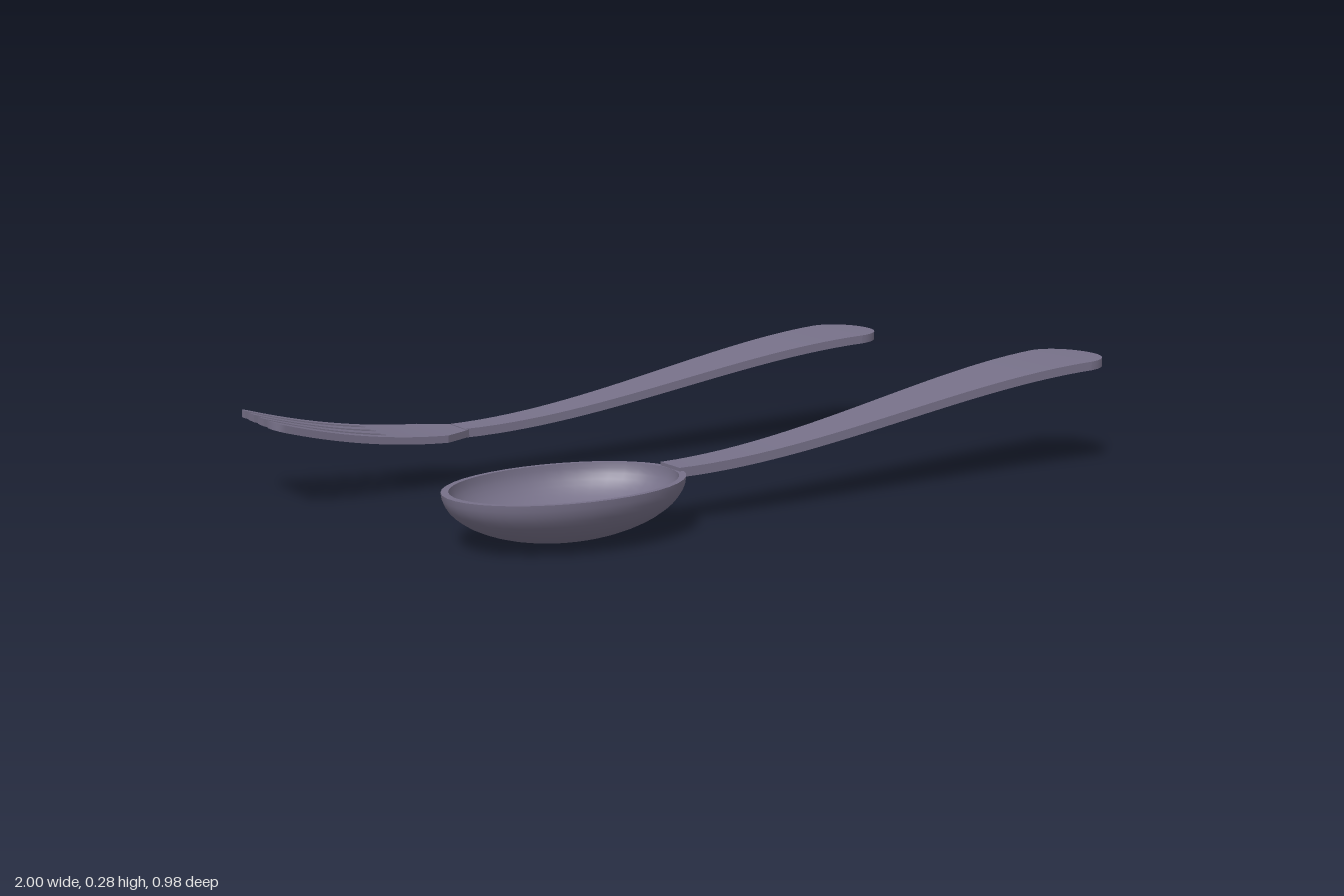
import * as THREE from 'three';

const metal = new THREE.MeshStandardMaterial({ color: 0x767088 });
metal.name = 'pewter';

const lerp = THREE.MathUtils.lerp;
const smooth = THREE.MathUtils.smoothstep;

// Evenly spaced values, with optional easing of the spacing
const range = (a, b, n, ease = t => t) =>
  Array.from({ length: n + 1 }, (_, i) => lerp(a, b, ease(i / n)));

// Flat bar running along x: edges lo(x)..hi(x) in z, following the height mid(x)
function strip(name, xs, lo, hi, mid, thick) {
  const n = xs.length - 1;
  const geo = new THREE.BoxGeometry(1, 1, 1, n, 1, 1);
  const p = geo.attributes.position;
  for (let i = 0; i < p.count; i++) {
    const x = xs[Math.round((p.getX(i) + 0.5) * n)];
    p.setXYZ(i, x, mid(x) + p.getY(i) * thick, lerp(lo(x), hi(x), p.getZ(i) + 0.5));
  }
  geo.computeVertexNormals();
  const mesh = new THREE.Mesh(geo, metal);
  mesh.name = name;
  return mesh;
}

// Flared S-curved handle with a rounded tip
function makeHandle(x0, x1, low, high) {
  const g = new THREE.Group();
  g.name = 'handle';
  const tip = 0.095, xe = x1 - tip;
  const mid = x => lerp(low, high, smooth(x, x0, x1));
  const half = x => {
    const t = (x - x0) / (xe - x0);
    return 0.04 + 0.073 * (0.65 * t + 0.35 * t * t);
  };
  const round = x => 0.113 * Math.sqrt(Math.max(0, 1 - ((x - xe) / tip) ** 2));
  g.add(strip('handleShaft', range(x0, xe, 28), x => -half(x), half, mid, 0.022));
  g.add(strip('handleTip', range(xe, x1, 12, t => Math.sin(t * Math.PI / 2)),
    x => -round(x), round, mid, 0.022));
  return g;
}

// Hollow oval bowl: outer shell, flat rim, inner shell
function makeBowl() {
  const g = new THREE.Group();
  g.name = 'bowl';
  const rim = 0.125, inner = 0.94;
  const arc = (r, depth) => range(0, Math.PI / 2, 14).map(a =>
    new THREE.Vector2(r * Math.sin(a), rim - depth * Math.cos(a)));
  const parts = {
    bowlOutside: arc(1, 0.125),
    bowlRim: [new THREE.Vector2(1, rim), new THREE.Vector2(inner, rim)],
    bowlInside: arc(inner, 0.111).reverse(),
  };
  for (const [name, pts] of Object.entries(parts)) {
    const geo = new THREE.LatheGeometry(pts, 40);
    geo.scale(0.287, 1, 0.198);
    const mesh = new THREE.Mesh(geo, metal);
    mesh.name = name;
    g.add(mesh);
  }
  g.position.x = -0.55;
  return g;
}

// Curved fork head: shoulder, palm and four tines
function makeForkHead() {
  const g = new THREE.Group();
  g.name = 'forkHead';
  const root = -0.7, end = -1, corner = 0.028, slot = 0.0125, pitch = 0.06;
  const mid = x => 0.124 + 0.083 * (Math.max(0, -0.48 - x) / 0.52) ** 2;
  const thick = 0.018;
  const edge = x => lerp(0.09, 0.113, (-0.55 - x) / 0.45);
  const shoulder = x => lerp(0.09, 0.042, (x + 0.55) / 0.08);
  g.add(strip('shoulder', range(-0.55, -0.47, 4), x => -shoulder(x), shoulder, mid, thick));
  g.add(strip('palm', range(root, -0.55, 8), x => -edge(x), edge, mid, thick));

  // Outer edge with rounded front corners
  const outer = x => {
    const d = Math.max(0, end + corner - x);
    return edge(x) - corner + Math.sqrt(Math.max(0, corner ** 2 - d * d));
  };
  // Half width of a slot, rounded at its root
  const gap = x => {
    const d = Math.max(0, x - root + slot);
    return Math.sqrt(Math.max(0, slot * slot - d * d));
  };
  const xs = [
    ...range(end, end + corner, 6, t => 1 - Math.cos(t * Math.PI / 2)),
    ...range(end + corner, root - slot, 12).slice(1),
    ...range(root - slot, root, 5, t => Math.sin(t * Math.PI / 2)).slice(1),
  ];
  for (let i = 0; i < 4; i++) {
    const lo = i === 0 ? x => -outer(x) : x => (i - 2) * pitch + gap(x);
    const hi = i === 3 ? outer : x => (i - 1) * pitch - gap(x);
    g.add(strip('tine' + (i + 1), xs, lo, hi, mid, thick));
  }
  return g;
}

export function createModel() {
  const model = new THREE.Group();
  model.name = 'cutlerySet';

  const spoon = new THREE.Group();
  spoon.name = 'spoon';
  spoon.add(makeBowl(), makeHandle(-0.28, 1, 0.122, 0.271));
  spoon.position.z = 0.29;

  const fork = new THREE.Group();
  fork.name = 'fork';
  fork.add(makeForkHead(), makeHandle(-0.48, 0.787, 0.124, 0.273));
  fork.position.z = -0.376;

  model.add(spoon, fork);
  return model;
}
